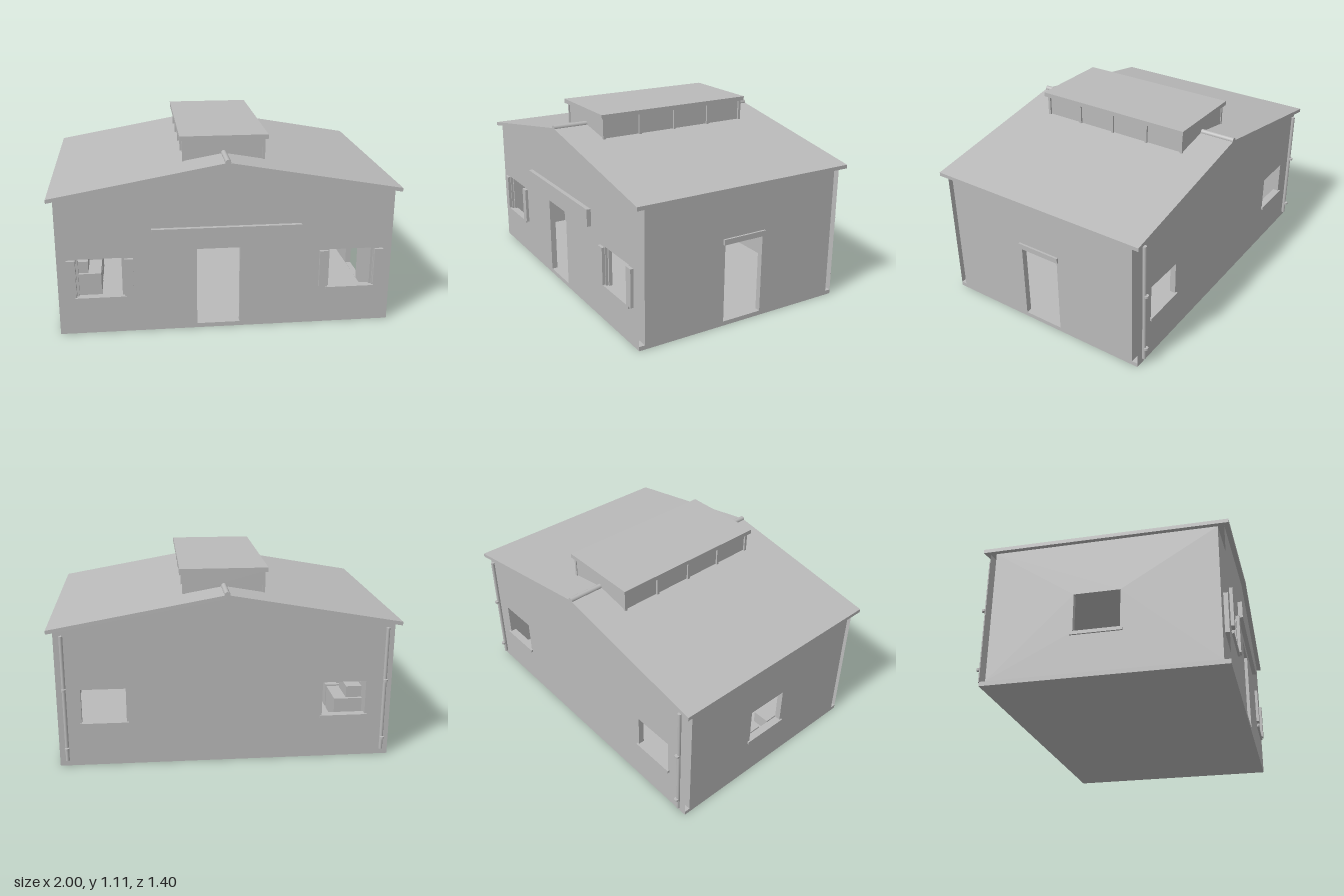
import * as THREE from 'three';

const grey = new THREE.MeshStandardMaterial({ color: 0xbababa, side: THREE.DoubleSide });
grey.name = 'plain grey';

export function createModel() {
  const model = new THREE.Group();
  model.name = 'building';

  const add = (name, geometry) => {
    const mesh = new THREE.Mesh(geometry, grey);
    mesh.name = name;
    model.add(mesh);
    return mesh;
  };
  // box given by its limits on each axis
  const box = (name, x0, x1, y0, y1, z0, z1) => {
    const mesh = add(name, new THREE.BoxGeometry(x1 - x0, y1 - y0, z1 - z0));
    mesh.position.set((x0 + x1) / 2, (y0 + y1) / 2, (z0 + z1) / 2);
    return mesh;
  };
  const polygon = (pts) => pts.map(([x, y]) => new THREE.Vector2(x, y));
  const rect = ([x0, x1, y0, y1]) => polygon([[x0, y0], [x0, y1], [x1, y1], [x1, y0]]);
  // wall panel with rectangular openings
  const panel = (outline, holes, depth) => {
    const shape = new THREE.Shape(polygon(outline));
    holes.forEach((h) => shape.holes.push(new THREE.Path(rect(h))));
    return new THREE.ExtrudeGeometry(shape, { depth, bevelEnabled: false });
  };
  // leave the wall cavity open at the outer corners
  const openEnds = (geometry) => {
    const p = geometry.attributes.position;
    const kept = [];
    for (let i = 0; i < p.count; i += 3) {
      const atEnd = [0, 1, 2].every((k) => Math.abs(p.getX(i + k)) > 0.964);
      if (!atEnd) for (let k = 0; k < 3; k++) kept.push(p.getX(i + k), p.getY(i + k), p.getZ(i + k));
    }
    const open = new THREE.BufferGeometry();
    open.setAttribute('position', new THREE.Float32BufferAttribute(kept, 3));
    open.computeVertexNormals();
    return open;
  };

  const W = 0.965, T = 0.035, FRONT = 0.675, BACK = -0.66, BASE = 0.025;
  box('floor', -W, W, 0, BASE, BACK, FRONT);

  // gable walls
  const gable = [[-W, BASE], [W, BASE], [W, 0.811], [0, 0.98], [-W, 0.811]];
  const frontWindows = [[-0.86, -0.59, 0.225, 0.46], [0.59, 0.86, 0.225, 0.46]];
  const backWindows = [[-0.815, -0.56, 0.262, 0.465], [0.575, 0.83, 0.262, 0.465]];
  const frontDoor = [-0.175, 0.075, 0.026, 0.495];
  add('frontWall', openEnds(panel(gable, [...frontWindows, frontDoor], T))).position.z = FRONT - T;
  add('backWall', openEnds(panel(gable, backWindows, T))).position.z = BACK;

  // side walls, drawn with local x = -z
  const side = [[-0.64, BASE], [0.625, BASE], [0.625, 0.811], [-0.64, 0.811]];
  const sideDoor = [-0.134, 0.12, 0.026, 0.495];
  const sideWindow = [-0.105, 0.155, 0.265, 0.49];
  [['rightWall', sideDoor, W - T], ['leftWall', sideWindow, -W]].forEach(([name, hole, x]) => {
    const wall = add(name, panel(side, [hole], T));
    wall.rotation.y = Math.PI / 2;
    wall.position.x = x;
  });
  box('sideDoorLintel', W, W + 0.012, 0.495, 0.527, -0.132, 0.147);
  box('sideWindowSill', -W - 0.01, -W, 0.245, 0.265, -0.17, 0.12);

  // window sills, jambs and shutters
  frontWindows.forEach(([x0, x1, y0, y1]) => {
    box('frontSill', x0 - 0.01, x1 + 0.01, y0 - 0.015, y0, FRONT, FRONT + 0.012);
    box('frontJamb', x0, x0 + 0.012, y0, y1, FRONT - T, FRONT - 0.015);
    box('frontJamb', x1 - 0.012, x1, y0, y1, FRONT - T, FRONT - 0.015);
    box('shutter', x0 - 0.052, x0 - 0.002, 0.233, 0.457, 0.677, 0.695);
    box('shutter', x1 + 0.002, x1 + 0.052, 0.233, 0.457, 0.677, 0.695);
  });
  backWindows.forEach(([x0, x1, y0]) => {
    box('backSill', x0 - 0.012, x1 + 0.012, y0 - 0.018, y0, BACK - 0.012, BACK);
  });
  box('signBoard', -0.43, 0.425, 0.527, 0.63, 0.677, 0.703);

  // pitched roof with round ridge cap
  const roof = [[-1, 0.805], [0, 0.982], [1, 0.805], [1, 0.827], [0, 1.005], [-1, 0.827]];
  add('roof', panel(roof, [], 1.39)).position.z = -0.688;
  const ridge = add('ridgeCap', new THREE.CylinderGeometry(0.016, 0.016, 1.39, 16));
  ridge.rotation.x = Math.PI / 2;
  ridge.position.set(0, 1.006, 0.007);

  // raised roof vent with posts along both sides
  box('ventBody', -0.228, 0.228, 0.963, 1.088, -0.476, 0.488);
  box('ventRoof', -0.255, 0.255, 1.086, 1.112, -0.493, 0.51);
  for (let i = 0; i < 5; i++) {
    const z = 0.487 - i * 0.24;
    for (const s of [-1, 1]) box('ventPost', s * 0.232 - 0.007, s * 0.232 + 0.007, 0.963, 1.088, z - 0.008, z + 0.008);
  }

  // downpipes with brackets at the back corners
  for (const s of [-1, 1]) {
    add('downpipe', new THREE.CylinderGeometry(0.011, 0.011, 0.75, 12)).position.set(s * 0.92, 0.415, -0.675);
    for (const y of [0.115, 0.475]) {
      add('pipeBracket', new THREE.CylinderGeometry(0.013, 0.013, 0.014, 12)).position.set(s * 0.92, y, -0.688);
    }
  }

  // low cabinets inside, against the left wall
  box('cabinet', -0.92, -0.74, 0.03, 0.183, 0.023, 0.25);
  box('cabinet', -0.92, -0.74, 0.03, 0.183, -0.23, -0.004);
  box('cabinetTop', -0.92, -0.82, 0.183, 0.258, 0.043, 0.23);
  box('cabinetTop', -0.92, -0.82, 0.183, 0.258, -0.21, -0.025);

  return model;
}
